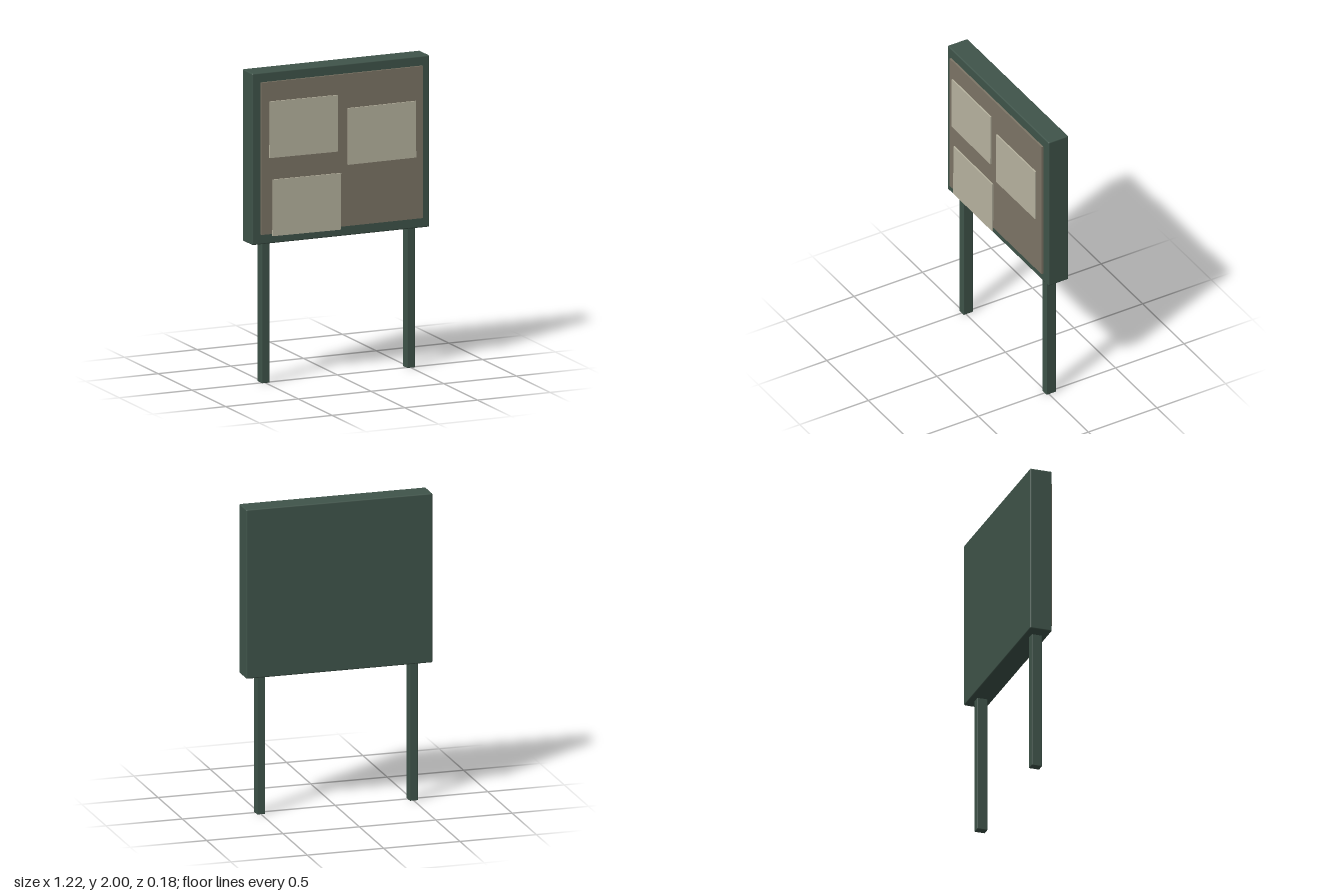
import * as THREE from 'three';
import { RoundedBoxGeometry } from 'three/addons/geometries/RoundedBoxGeometry.js';

const material = (name, color) => {
  const m = new THREE.MeshStandardMaterial({ color });
  m.name = name;
  return m;
};

export function createModel() {
  const model = new THREE.Group();
  model.name = 'noticeBoard';

  const green = material('darkGreen', 0x3f544a);
  const cork = material('cork', 0x7d7566);
  const paper = material('paper', 0xb8b4a0);

  const add = (name, geometry, mat, x, y, z, tilt = 0) => {
    const mesh = new THREE.Mesh(geometry, mat);
    mesh.name = name;
    mesh.position.set(x, y, z);
    mesh.rotation.z = tilt;
    model.add(mesh);
    return mesh;
  };

  // Case with softly bevelled edges
  add('case', new RoundedBoxGeometry(1.22, 1.1, 0.145, 2, 0.008), green, 0, 1.45, -0.0185);

  // Two square posts carrying the case
  for (const side of [-1, 1]) {
    add(side > 0 ? 'leftPost' : 'rightPost',
      new RoundedBoxGeometry(0.054, 0.91, 0.068, 2, 0.004), green, side * 0.5, 0.455, -0.016);
  }

  // Pin panel standing just proud of the case
  add('pinPanel', new THREE.BoxGeometry(1.11, 0.975, 0.013), cork, 0, 1.4525, 0.066);

  // Pinned sheets: centre x, centre y, tilt
  const sheets = [
    [-0.27, 1.635, -0.008],
    [0.268, 1.542, 0.003],
    [-0.249, 1.133, -0.008],
  ];
  sheets.forEach(([x, y, tilt], i) => {
    add(`sheet${i + 1}`, new THREE.BoxGeometry(0.468, 0.362, 0.009), paper, x, y, 0.084, tilt);
  });

  return model;
}
